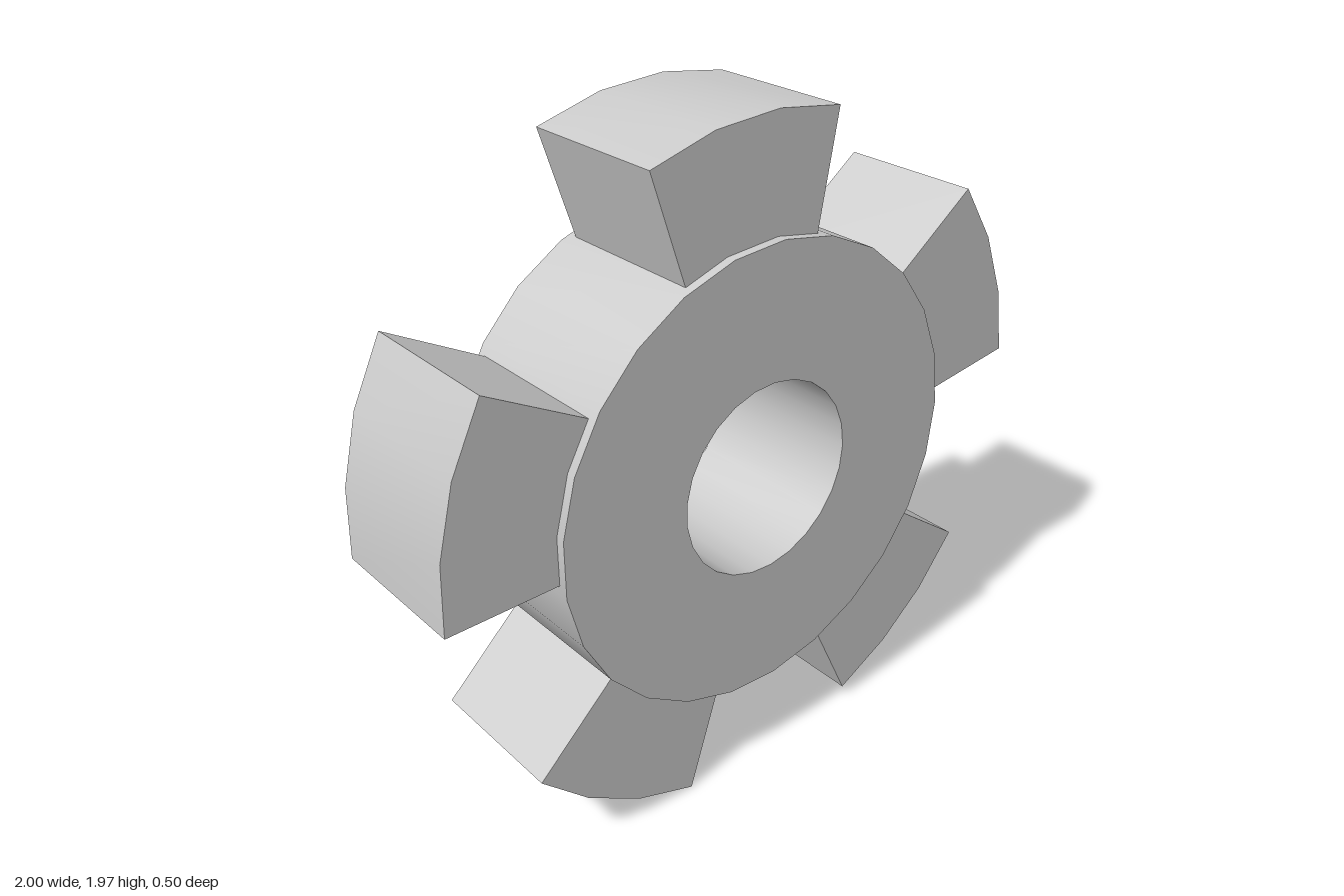
import * as THREE from 'three';
import { toCreasedNormals } from 'three/addons/utils/BufferGeometryUtils.js';

const CENTER_Y = 0.971;
const TILT = THREE.MathUtils.degToRad(3.65); // turn of the whole wheel
const TEETH = 5;
const HUB_SIDES = 25;

const polar = (r, a) => new THREE.Vector2(r * Math.cos(a), r * Math.sin(a));

// Regular polygon with a flat side facing up
function ringPoints(radius) {
  return Array.from({ length: HUB_SIDES }, (_, i) =>
    polar(radius, Math.PI / 2 + ((i + 0.5) / HUB_SIDES) * Math.PI * 2));
}

// Extrude centred on z = 0, smooth around curves and sharp at the rims
function slab(shape, depth) {
  const geometry = new THREE.ExtrudeGeometry(shape, { depth, bevelEnabled: false });
  geometry.translate(0, 0, -depth / 2);
  return toCreasedNormals(geometry, 0.5);
}

export function createModel() {
  const model = new THREE.Group();
  model.name = 'toothedWheel';
  const material = new THREE.MeshStandardMaterial({ color: 0xcccccc });

  const wheel = new THREE.Group();
  wheel.name = 'wheel';
  wheel.position.y = CENTER_Y;
  wheel.rotation.z = TILT;
  model.add(wheel);

  // Thick hub with a round bore
  const hubShape = new THREE.Shape(ringPoints(0.679));
  hubShape.holes.push(new THREE.Path(ringPoints(0.287)));
  const hub = new THREE.Mesh(slab(hubShape, 0.5), material);
  hub.name = 'hub';
  wheel.add(hub);

  // Flared tooth: narrow root sunk into the hub, three-segment arc outside
  const halfAngle = THREE.MathUtils.degToRad(17.65);
  const arc = [0, 1, 2, 3].map((i) =>
    polar(1.004, Math.PI / 2 - halfAngle + (i / 3) * halfAngle * 2));
  const toothShape = new THREE.Shape([
    new THREE.Vector2(-0.212, 0.6),
    new THREE.Vector2(0.212, 0.6),
    ...arc,
  ]);
  const toothGeometry = slab(toothShape, 0.445);
  for (let i = 0; i < TEETH; i++) {
    const tooth = new THREE.Mesh(toothGeometry, material);
    tooth.name = `tooth${i + 1}`;
    tooth.rotation.z = (i / TEETH) * Math.PI * 2;
    wheel.add(tooth);
  }

  return model;
}
